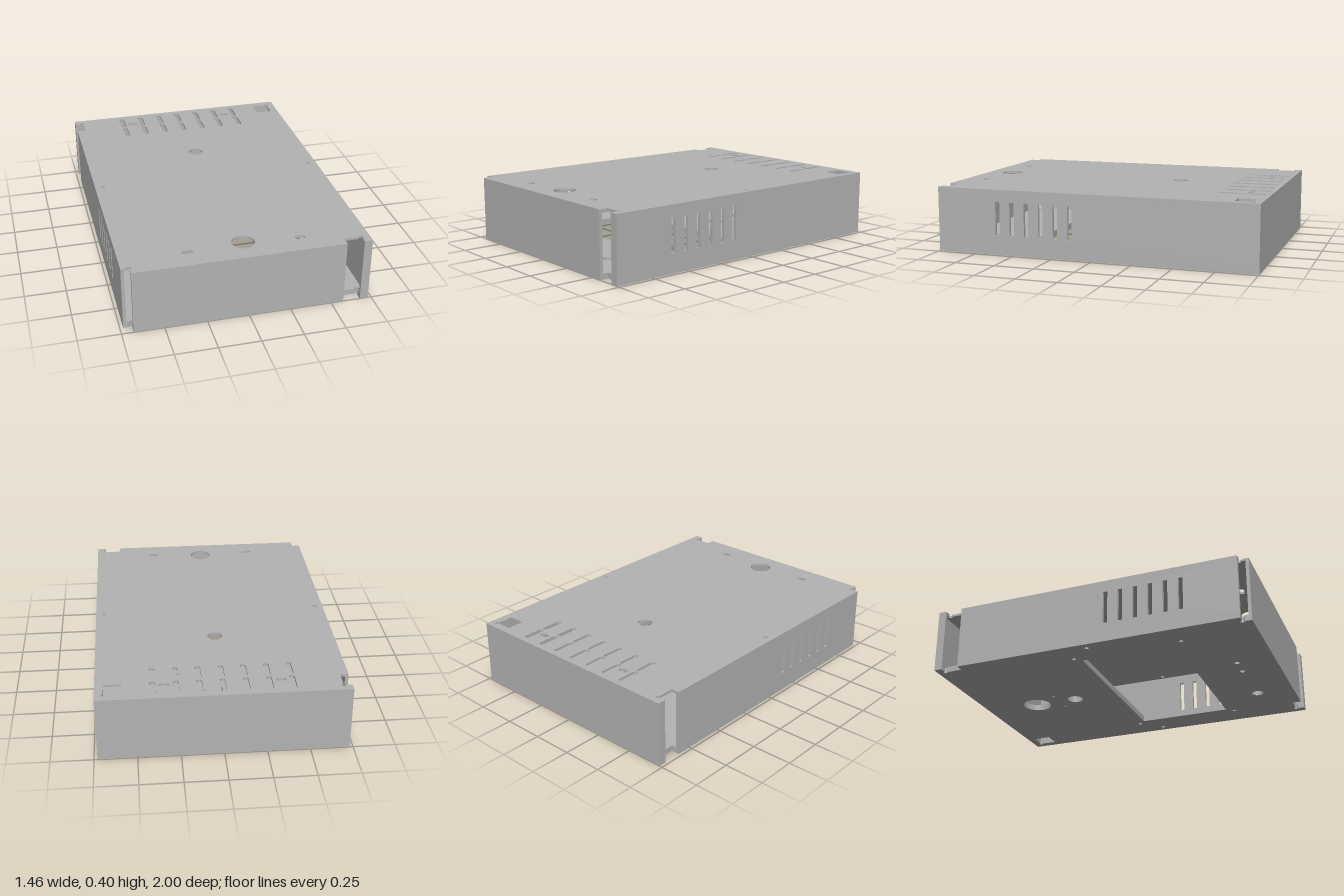
import * as THREE from 'three';

const W = 0.73, D = 1, H = 0.4;          // half width, half depth, height
const T = 0.02, TOP = 0.385, FLOOR = 0.036; // sheet thickness, underside of lid, top of floor
const RELIEF = 0.013;

// In plate shapes, the second coordinate is -z.
function relief(path, x, y) {
  path.absarc(x, y, RELIEF, Math.PI, -Math.PI / 2, true);
}

function circle(x, z, r) {
  return new THREE.Path().absarc(x, -z, r, 0, Math.PI * 2, true);
}

function rect(x0, y0, x1, y1) {
  return new THREE.Path([[x0, y0], [x0, y1], [x1, y1], [x1, y0]].map(p => new THREE.Vector2(...p)));
}

// Rounded slot, long along x or z
function slot(x, z, w, d) {
  const p = new THREE.Path(), r = Math.min(w, d) / 2, y = -z;
  if (d > w) {
    p.absarc(x, y + d / 2 - r, r, 0, Math.PI, false);
    p.absarc(x, y - d / 2 + r, r, Math.PI, Math.PI * 2, false);
  } else {
    p.absarc(x + w / 2 - r, y, r, -Math.PI / 2, Math.PI / 2, false);
    p.absarc(x - w / 2 + r, y, r, Math.PI / 2, Math.PI * 1.5, false);
  }
  p.closePath();
  return p;
}

// Sheet outline with bend notches, shared by lid and floor
function plateShape() {
  const s = new THREE.Shape();
  s.moveTo(-0.68, -D);
  s.lineTo(0.575, -D);
  s.lineTo(0.575, -0.945);
  relief(s, 0.68, -0.945);
  s.lineTo(0.68, -D);
  s.lineTo(W, -D);
  s.lineTo(W, D);
  s.lineTo(-W, D);
  s.lineTo(-W, 0.95);
  relief(s, -0.68, 0.95);
  s.lineTo(-0.68, 0.84);
  s.lineTo(-W, 0.84);
  s.lineTo(-W, -0.945);
  relief(s, -0.68, -0.945);
  s.closePath();

  const square = new THREE.Path();
  square.moveTo(0.575, 0.84);
  square.lineTo(0.575, 0.95);
  relief(square, 0.68, 0.95);
  square.lineTo(0.68, 0.84);
  square.closePath();
  s.holes.push(square);
  for (const side of [-1, 1]) s.holes.push(circle(side * 0.68, 0, RELIEF));
  return s;
}

export function createModel() {
  const model = new THREE.Group();
  model.name = 'enclosure';
  const metal = new THREE.MeshStandardMaterial({ color: 0xb3b3b3 });
  metal.name = 'greySheetMetal';

  const add = (name, geometry) => {
    const mesh = new THREE.Mesh(geometry, metal);
    mesh.name = name;
    model.add(mesh);
    return mesh;
  };
  const extrude = (shape, depth) =>
    new THREE.ExtrudeGeometry(shape, { depth, bevelEnabled: false, curveSegments: 20 });
  const box = (name, x0, x1, y0, y1, z0, z1) =>
    add(name, new THREE.BoxGeometry(x1 - x0, y1 - y0, z1 - z0))
      .position.set((x0 + x1) / 2, (y0 + y1) / 2, (z0 + z1) / 2);

  // Lid with vent slots, mounting slots and two round holes
  const lid = plateShape();
  for (let i = -3; i <= 3; i++) {
    lid.holes.push(slot(i * 0.1333, -0.894, 0.032, 0.138));
    lid.holes.push(slot(i * 0.1333, -0.748, 0.032, 0.136));
  }
  for (const side of [-1, 1]) {
    lid.holes.push(slot(side * 0.333, -0.868, 0.06, 0.034));
    lid.holes.push(slot(side * 0.333, 0.865, 0.06, 0.034));
  }
  lid.holes.push(circle(0, 0.838, 0.068), circle(0, -0.337, 0.045));
  add('lid', extrude(lid, H - TOP).rotateX(-Math.PI / 2)).position.y = TOP;

  // Floor with a large window, screw holes and cable holes
  const floor = plateShape();
  floor.holes.push(rect(-0.53, -0.5, 0.53, 0.09));
  for (const side of [-1, 1]) {
    for (const z of [-0.13, 0.548]) floor.holes.push(circle(side * 0.568, z, 0.012));
    floor.holes.push(circle(side * 0.096, -0.487, 0.008));
  }
  floor.holes.push(
    circle(0, -0.65, 0.09), circle(0, -0.373, 0.05), circle(0.335, 0.77, 0.036),
    circle(-0.03, 0.768, 0.016), circle(-0.16, 0.77, 0.016));
  add('floor', extrude(floor, FLOOR).rotateX(-Math.PI / 2));

  // Side walls with matching vent slots
  const sideWall = (name, z0, z1, x) => {
    const s = new THREE.Shape([[z0, FLOOR], [z1, FLOOR], [z1, TOP], [z0, TOP]]
      .map(p => new THREE.Vector2(...p)));
    for (let i = 0; i < 6; i++) {
      const z = 0.135 + i * 0.0935;
      s.holes.push(rect(z - 0.014, 0.12, z + 0.014, 0.325));
    }
    add(name, extrude(s, T).rotateY(-Math.PI / 2)).position.x = x;
  };
  sideWall('rightWall', -D, D, W);
  sideWall('leftWall', -0.84, 0.945, -W + T);

  // End walls and the short folded flanges at two corners
  box('frontWall', -0.68, 0.575, FLOOR, TOP, D - T, D);
  box('backWall', -W, W - T, FLOOR, TOP, -D, -D + T);
  box('frontFlange', 0.68, W - T, FLOOR, TOP, D - T, D);
  box('backFlange', -W, -W + T, FLOOR, TOP, -D + T, -0.95);

  // Small tabs hanging under the lid
  for (const side of [-1, 1]) {
    const x = side * 0.28;
    box('lidTab', x - 0.02, x + 0.02, TOP - 0.06, TOP, 0.67, 0.71);
    box('lidClip', x - 0.065, x - 0.025, TOP - 0.02, TOP, 0.41, 0.45);
  }
  return model;
}
